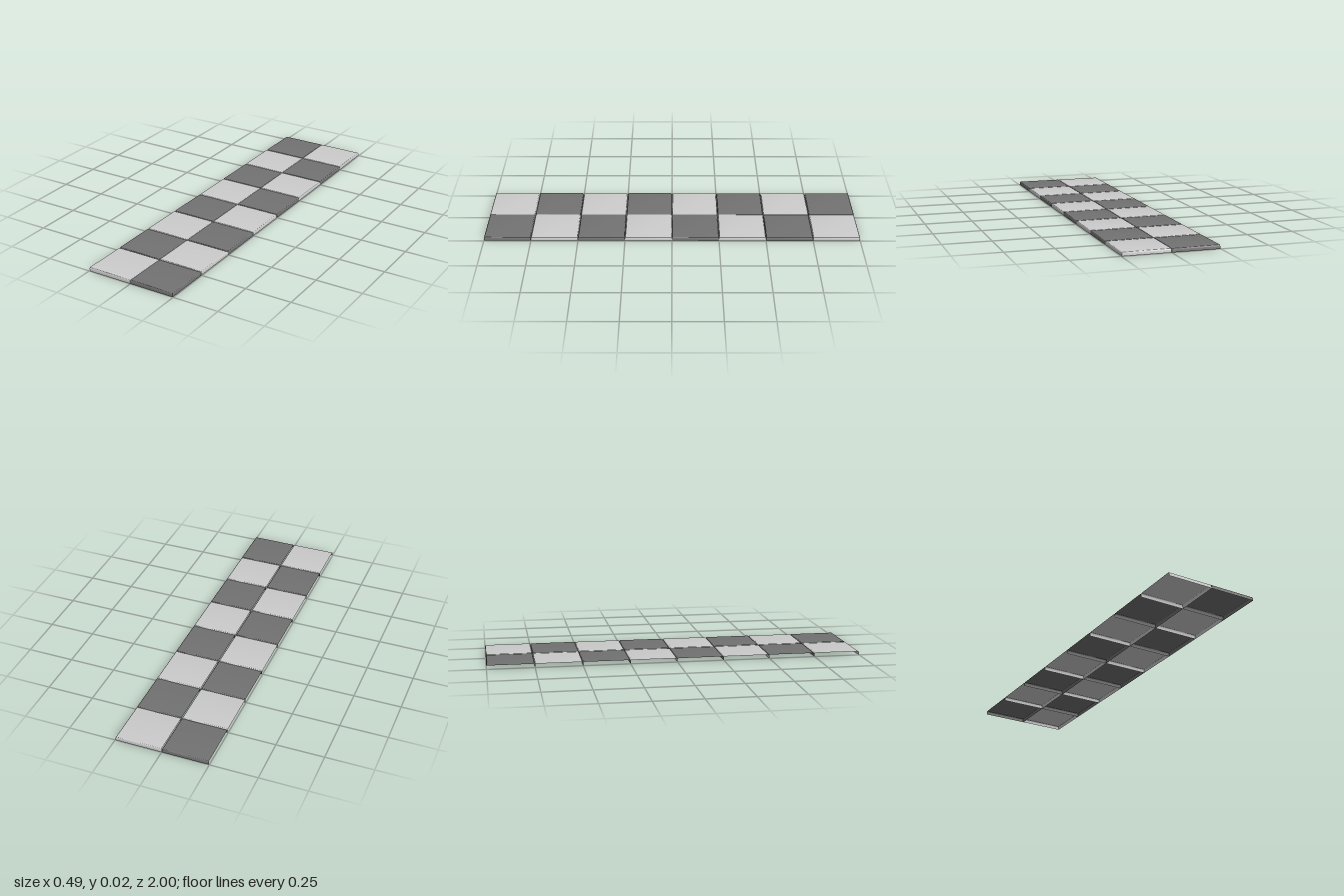
import * as THREE from 'three';
import { toCreasedNormals } from 'three/addons/utils/BufferGeometryUtils.js';

const ROWS = 8, PITCH = 0.25, WIDTH = 0.246;

// Hollow tile: flat top with a rounded skirt on three sides, open towards -x
function tileGeometry() {
  const profile = [[0, 0], [0.0005, 0.014], [0.0015, 0.0175], [0.0035, 0.0195], [0.006, 0.02]]; // [inset, height]
  const w = WIDTH / 2, d = PITCH / 2 - 0.0005;
  const rings = profile.map(([i, y]) => [
    [-w, y, -d + i], [w - i, y, -d + i], [w - i, y, d - i], [-w, y, d - i],
  ]);
  const positions = [];
  const quad = (a, b, c, e) => positions.push(...a, ...b, ...c, ...a, ...c, ...e);
  for (let k = 0; k < rings.length - 1; k++) {
    const lo = rings[k], hi = rings[k + 1];
    for (let s = 0; s < 3; s++) quad(lo[s], hi[s], hi[s + 1], lo[s + 1]);
  }
  const top = rings[rings.length - 1];
  quad(top[0], top[3], top[2], top[1]);
  const geometry = new THREE.BufferGeometry();
  geometry.setAttribute('position', new THREE.Float32BufferAttribute(positions, 3));
  return toCreasedNormals(geometry, 0.6);
}

export function createModel() {
  const model = new THREE.Group();
  model.name = 'checkeredFloorStrip';
  const light = new THREE.MeshStandardMaterial({ color: 0xcccccc, side: THREE.DoubleSide });
  const dark = new THREE.MeshStandardMaterial({ color: 0x727272, side: THREE.DoubleSide });
  const geometry = tileGeometry();

  // Two columns of alternating tiles
  for (let row = 0; row < ROWS; row++) {
    for (let col = 0; col < 2; col++) {
      const isLight = (row + col) % 2 === 1;
      const tile = new THREE.Mesh(geometry, isLight ? light : dark);
      tile.name = isLight ? 'lightTile' : 'darkTile';
      tile.position.set((col - 0.5) * (WIDTH + 0.002), 0, (row - (ROWS - 1) / 2) * PITCH);
      model.add(tile);
    }
  }
  return model;
}
